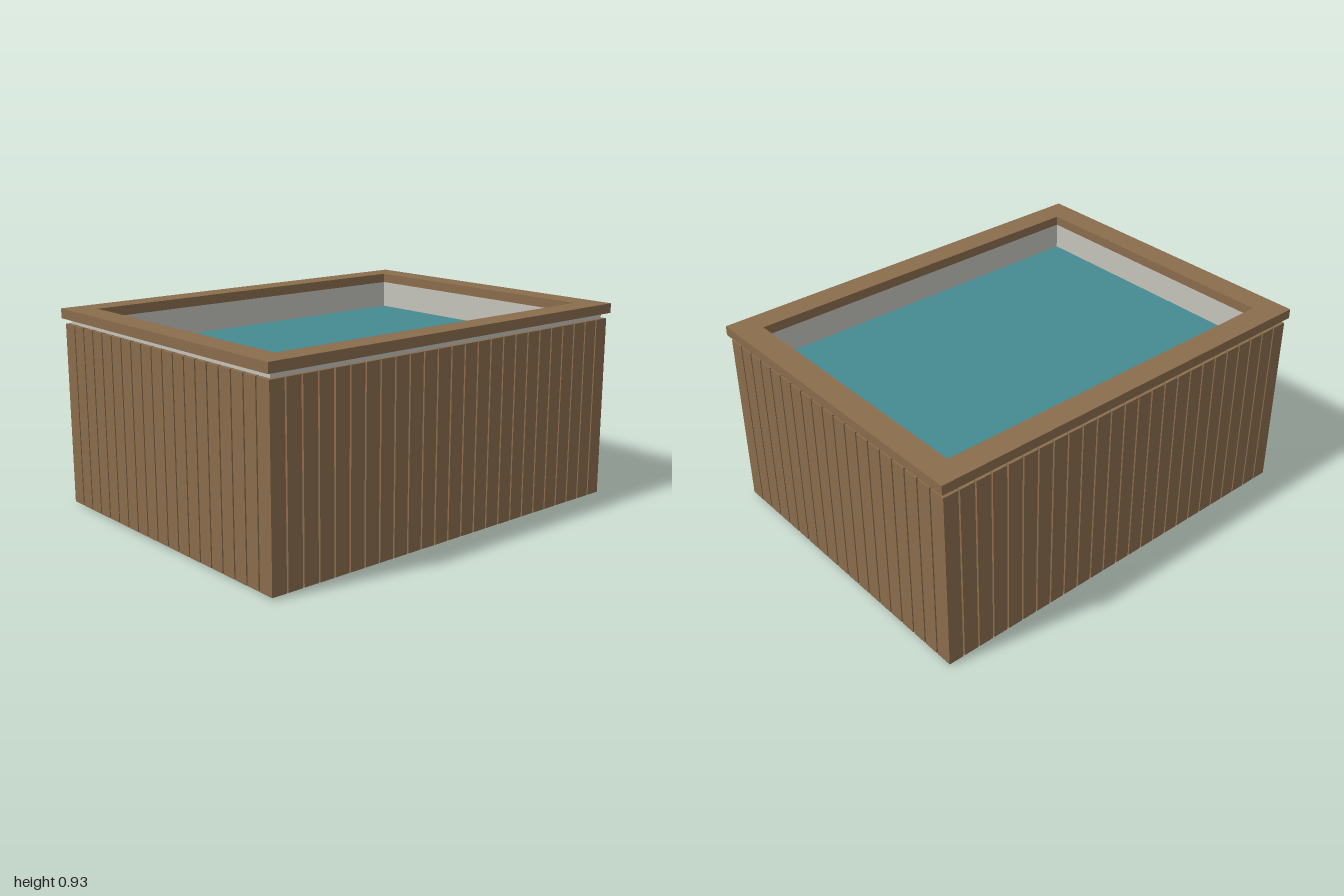
import * as THREE from 'three';

export function createModel() {
  const model = new THREE.Group();
  model.name = 'hotTub';
  const mat = (name, color) => {
    const m = new THREE.MeshStandardMaterial({ color });
    m.name = name;
    return m;
  };
  const wood = mat('wood', 0x8a6d4d);
  const shell = mat('shellGrey', 0xc4c4bc);
  const water = mat('water', 0x458a92);

  const add = (parent, name, geometry, material, x = 0, y = 0, z = 0) => {
    const mesh = new THREE.Mesh(geometry, material);
    mesh.name = name;
    mesh.position.set(x, y, z);
    parent.add(mesh);
    return mesh;
  };

  // Rectangular ring standing from y0 to y1, with half sizes of its outside and opening
  const frame = (ox, oz, ix, iz, y0, y1) => {
    const rect = (p, a, b) => p.moveTo(-a, -b).lineTo(a, -b).lineTo(a, b).lineTo(-a, b).closePath();
    const shape = rect(new THREE.Shape(), ox, oz);
    shape.holes.push(rect(new THREE.Path(), ix, iz));
    return new THREE.ExtrudeGeometry(shape, { depth: y1 - y0, bevelEnabled: false })
      .rotateX(-Math.PI / 2).translate(0, y0, 0);
  };

  // Basin: floor slab, walls and water
  add(model, 'floor', new THREE.BoxGeometry(1.936, 0.055, 1.474), shell, 0, 0.0275, 0);
  add(model, 'basinWalls', frame(0.968, 0.737, 0.893, 0.662, 0.055, 0.88), shell);
  add(model, 'water', new THREE.BoxGeometry(1.786, 0.69, 1.324), water, 0, 0.402, 0);

  // Top rim
  add(model, 'rim', frame(1, 0.767, 0.88, 0.65, 0.88, 0.925), wood);

  // Vertical cladding slats on all four sides
  const bottom = 0.008, top = 0.855, gap = 0.008, thick = 0.018;
  const cladding = (name, count, length, distance, angle) => {
    const group = new THREE.Group();
    group.name = name;
    const pitch = (length + gap) / count;
    const slat = new THREE.BoxGeometry(pitch - gap, top - bottom, thick);
    for (let i = 0; i < count; i++) {
      add(group, 'slat', slat, wood, (i - (count - 1) / 2) * pitch, (top + bottom) / 2, distance - thick / 2);
    }
    group.rotation.y = angle;
    model.add(group);
  };
  cladding('frontCladding', 25, 1.972, 0.755, 0);
  cladding('backCladding', 25, 1.972, 0.755, Math.PI);
  cladding('leftCladding', 19, 1.5, 0.986, Math.PI / 2);
  cladding('rightCladding', 19, 1.5, 0.986, -Math.PI / 2);

  return model;
}
